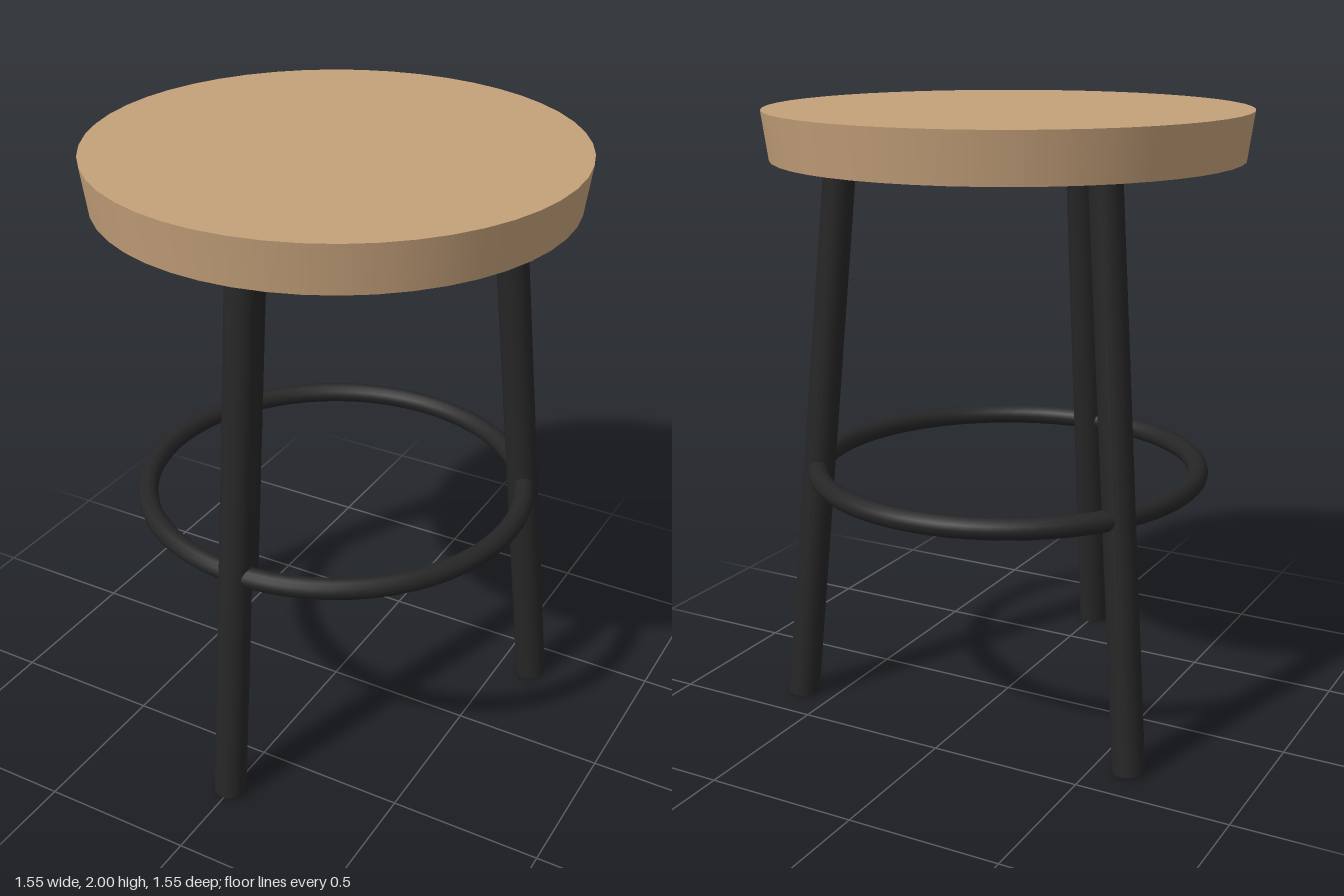
import * as THREE from 'three';

export function createModel() {
  const stool = new THREE.Group();
  stool.name = 'stool';

  const wood = new THREE.MeshStandardMaterial({ color: 0xc4a07a });
  wood.name = 'wood';
  const blackMetal = new THREE.MeshStandardMaterial({ color: 0x262626 });
  blackMetal.name = 'black metal';

  const add = (name, geometry, material) => {
    const mesh = new THREE.Mesh(geometry, material);
    mesh.name = name;
    stool.add(mesh);
    return mesh;
  };

  // Round seat, slightly narrower at the bottom
  const seatBottom = 1.845;
  const seatHeight = 2 - seatBottom;
  add('seat', new THREE.CylinderGeometry(0.773, 0.752, seatHeight, 48), wood)
    .position.y = seatBottom + seatHeight / 2;

  // Three splayed legs, one at the front; their tops sink into the seat
  const up = new THREE.Vector3(0, 1, 0);
  const names = ['frontLeg', 'backLeftLeg', 'backRightLeg'];
  names.forEach((name, i) => {
    const angle = (i * Math.PI * 2) / 3;
    const point = (r, y) => new THREE.Vector3(Math.sin(angle) * r, y, Math.cos(angle) * r);
    const foot = point(0.709, 0.005);
    const head = point(0.53, 1.86);
    const axis = head.clone().sub(foot);
    const leg = add(name, new THREE.CylinderGeometry(0.052, 0.052, axis.length(), 20), blackMetal);
    leg.position.copy(foot).add(head).multiplyScalar(0.5);
    leg.quaternion.setFromUnitVectors(up, axis.normalize());
  });

  // Footrest ring passing through the legs
  const ring = add('footrestRing', new THREE.TorusGeometry(0.632, 0.034, 12, 64), blackMetal);
  ring.rotation.x = Math.PI / 2;
  ring.position.y = 0.818;

  return stool;
}
